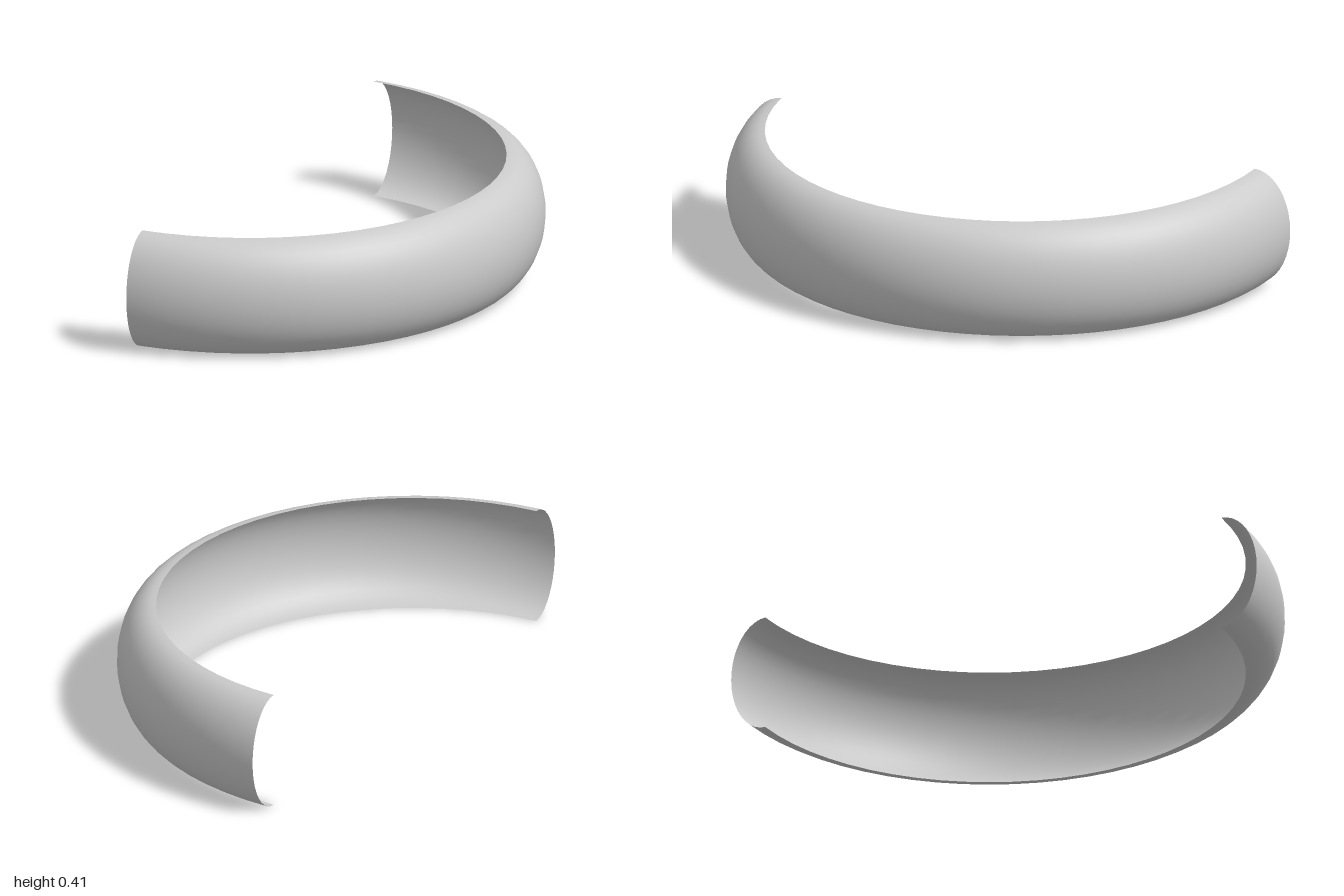
import * as THREE from 'three';

// Open curved band: a half-ellipse section swept part of the way round a vertical axis
export function createModel() {
  const group = new THREE.Group();
  group.name = 'curvedBand';

  const rimRadius = 0.88, bulge = 0.134, halfHeight = 0.207;

  // Section from the bottom rim, out over the bulge, to the top rim
  const section = [];
  const steps = 20;
  for (let i = 0; i <= steps; i++) {
    const a = -Math.PI / 2 + (Math.PI * i) / steps;
    section.push(new THREE.Vector2(
      rimRadius + bulge * Math.cos(a),
      halfHeight + halfHeight * Math.sin(a)
    ));
  }

  // Sweep a little under half a turn, with one end reaching further back
  const start = THREE.MathUtils.degToRad(-77.1);
  const sweep = THREE.MathUtils.degToRad(175.9);
  const shell = new THREE.Mesh(
    new THREE.LatheGeometry(section, 32, start, sweep),
    new THREE.MeshStandardMaterial({ color: 0xcccccc, side: THREE.DoubleSide })
  );
  shell.name = 'bandShell';
  shell.position.set(-0.013, 0, -0.43);
  group.add(shell);

  return group;
}
